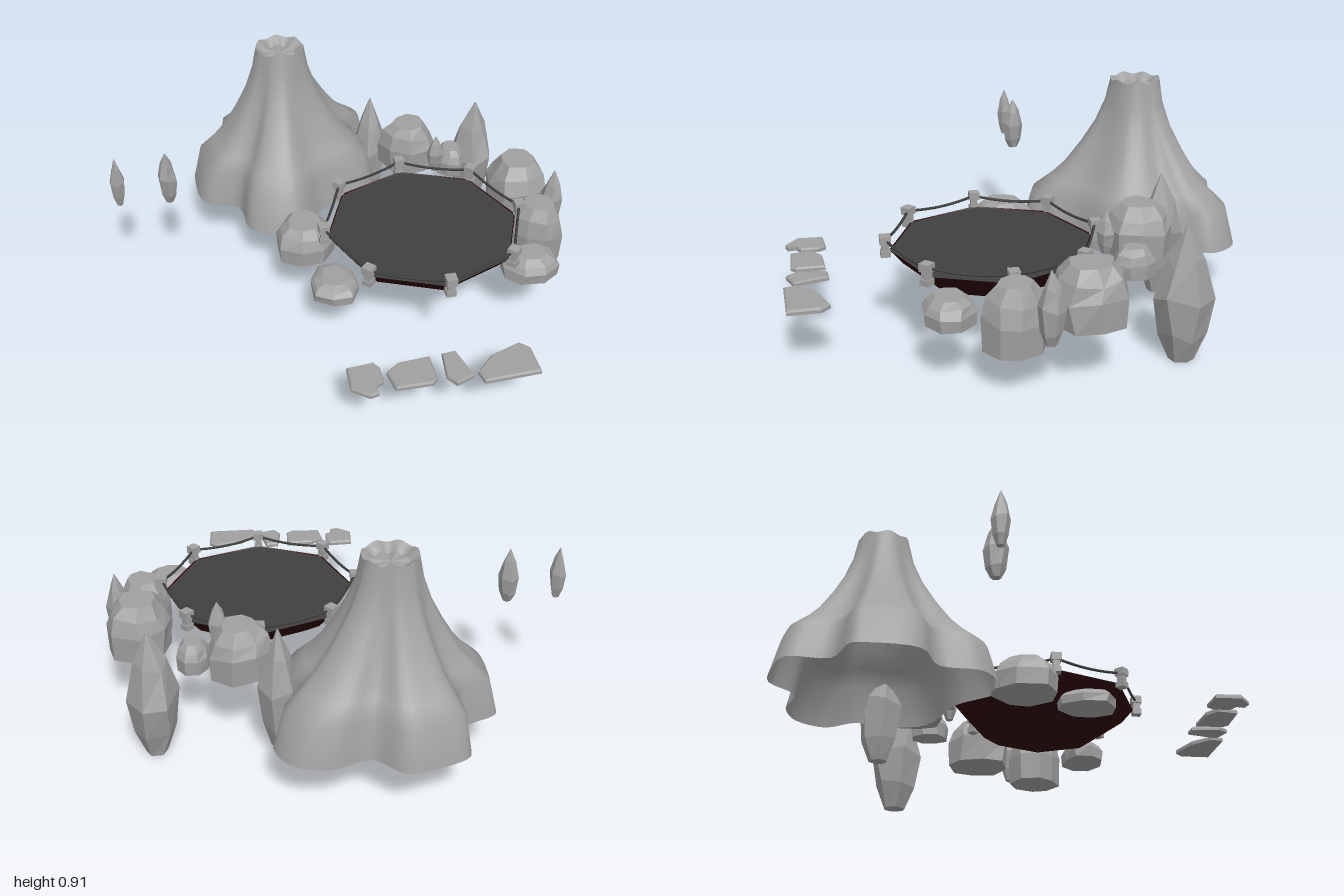
import * as THREE from 'three';

const mat = (name, color) => {
  const m = new THREE.MeshStandardMaterial({ color, side: THREE.DoubleSide });
  m.name = name;
  return m;
};

// small seeded random numbers
function seeded(seed) {
  let s = seed * 7919 + 17;
  return () => (s = (s * 16807) % 2147483647) / 2147483647;
}

// skin over rings of points, listed from bottom to top
function loft(rings, { flat = true, bottom = true, top = true } = {}) {
  const n = rings[0].length, pos = [], idx = [];
  rings.forEach(r => r.forEach(p => pos.push(p.x, p.y, p.z)));
  for (let k = 0; k < rings.length - 1; k++)
    for (let i = 0; i < n; i++) {
      const a = k * n + i, b = k * n + (i + 1) % n;
      idx.push(a, a + n, b, b, a + n, b + n);
    }
  const cap = (k, up) => {
    const c = new THREE.Vector3();
    rings[k].forEach(p => c.addScaledVector(p, 1 / n));
    const ci = pos.length / 3;
    pos.push(c.x, c.y, c.z);
    for (let i = 0; i < n; i++) {
      const a = k * n + i, b = k * n + (i + 1) % n;
      up ? idx.push(ci, b, a) : idx.push(ci, a, b);
    }
  };
  if (bottom) cap(0, false);
  if (top) cap(rings.length - 1, true);
  let g = new THREE.BufferGeometry();
  g.setAttribute('position', new THREE.Float32BufferAttribute(pos, 3));
  g.setIndex(idx);
  if (flat) g = g.toNonIndexed();
  g.computeVertexNormals();
  return g;
}

// uneven stone: profile holds [radius fraction, height fraction]
function stoneGeometry(x, z, rx, rz, y0, y1, profile, sides, seed, jitter) {
  const rnd = seeded(seed);
  rnd();
  const turn = rnd() * 6, wobble = Array.from({ length: sides }, () => 1 - rnd() * jitter);
  const rings = profile.map(([r, h]) => wobble.map((w, i) => {
    const a = turn + (i + (rnd() - 0.5) * 0.25) / sides * Math.PI * 2;
    const dy = h > 0 && h < 1 ? (rnd() - 0.5) * 0.1 : 0;
    return new THREE.Vector3(x + Math.cos(a) * rx * r * w, y0 + (y1 - y0) * (h + dy), z + Math.sin(a) * rz * r * w);
  }));
  return loft(rings);
}

export function createModel() {
  const model = new THREE.Group();
  const stone = mat('grey stone', 0xa0a0a0);
  const water = mat('dark pool surface', 0x404040);
  const lava = mat('dark red basin', 0x2e0608);
  const add = (name, geo, m, parent = model) => {
    const mesh = new THREE.Mesh(geo, m);
    mesh.name = name;
    parent.add(mesh);
    return mesh;
  };

  // volcano: round crater rim flaring into a lobed foot
  const foot = new THREE.CatmullRomCurve3([
    [-.21, -1], [-.09, -.91], [.06, -.96], [.2, -.93], [.27, -.81], [.2, -.67], [.24, -.53], [.2, -.37],
    [-.04, -.25], [-.18, -.09], [-.29, -.09], [-.4, -.16], [-.43, -.33], [-.58, -.4], [-.61, -.6],
    [-.6, -.66], [-.46, -.74], [-.46, -.91], [-.35, -.97],
  ].map(([x, z]) => new THREE.Vector3(x, 0, z)), true, 'centripetal').getPoints(76).slice(0, 76);
  const cx = -0.18, cz = -0.58;
  const slope = [[.22, 1], [.38, .88], [.44, .68], [.5, .52], [.6, .33], [.7, .17], [.8, .06], [.9, 0]];
  const coneRing = (y, t, r) => foot.map((p, i) => {
    const a = Math.atan2(p.z - cz, p.x - cx);
    const chip = y > 0.85 ? Math.sin(a * 7) * 0.006 : 0;
    return new THREE.Vector3(
      THREE.MathUtils.lerp(cx + Math.cos(a) * r, p.x, t), y + chip,
      THREE.MathUtils.lerp(cz + Math.sin(a) * r, p.z, t));
  });
  add('volcano', loft(slope.map(([y, t]) => coneRing(y, t, 0.108)), { flat: false, bottom: false, top: false }), stone);
  add('crater', loft([coneRing(.9, 0, .108), coneRing(.87, 0, .07)], { bottom: false }), stone);

  // octagonal pool: basin, surface, posts and ropes
  const pool = new THREE.Group();
  pool.name = 'pool';
  pool.position.set(0.31, 0, 0.165);
  model.add(pool);
  const basin = [[0, .21], [.13, .215], [.27, .25], [.36, .31], [.415, .375]].map(p => new THREE.Vector2(...p));
  add('basin', new THREE.LatheGeometry(basin, 8), lava, pool);
  const surface = new THREE.CircleGeometry(0.411, 8).rotateX(-Math.PI / 2);
  add('poolSurface', surface, water, pool).position.y = 0.371;
  const postAt = (k, y) => {
    const a = k * Math.PI / 4;
    return new THREE.Vector3(Math.cos(a) * 0.43, y, Math.sin(a) * 0.43);
  };
  for (let k = 0; k < 8; k++) {
    const post = new THREE.Group();
    post.name = 'post';
    post.position.copy(postAt(k, 0));
    post.rotation.y = -k * Math.PI / 4;
    pool.add(post);
    [['postBase', .04, .35, .375], ['postShaft', .03, .375, .405], ['postCap', .044, .405, .438]].forEach(([n, w, a, b]) => {
      add(n, new THREE.BoxGeometry(w, b - a, w), stone, post).position.y = (a + b) / 2;
    });
    const p = postAt(k, .42), q = postAt(k + 1, .42);
    const mid = p.clone().add(q).multiplyScalar(0.5).setY(0.39);
    add('rope', new THREE.TubeGeometry(new THREE.QuadraticBezierCurve3(p, mid, q), 8, 0.006, 5), water, pool);
  }

  // rounded rocks around the pool: x, z, rx, rz, bottom, top
  const rockProfile = [[.97, 0], [1, .5], [.84, .78], [.55, 1]];
  [
    [-.18, .03, .14, .16, .22, .37], [-.1, .3, .12, .14, .2, .27], [.72, .4, .13, .11, .25, .35],
    [.83, .18, .13, .13, .17, .43], [.82, -.1, .16, .16, .25, .48], [.39, -.42, .145, .145, .32, .53],
    [.58, -.35, .075, .1, .3, .42],
  ].forEach((r, i) => add('rock', stoneGeometry(...r, rockProfile, 8, i + 3, 0.16), stone));

  // pointed shards, some hanging below the pool and two floating aside
  const shardProfile = [[.42, 0], [.8, .2], [1, .5], [.6, .75], [.03, 1]];
  [
    [.74, -.5, .115, .125, 0, .55], [.24, -.57, .09, .11, .06, .59], [.93, .07, .056, .058, .22, .51],
    [.48, -.26, .045, .04, .36, .54], [-.95, -.14, .035, .04, .45, .68], [-.74, -.14, .046, .05, .44, .68],
  ].forEach((r, i) => add('shard', stoneGeometry(...r, shardProfile, 6, i + 21, 0.12), stone));

  // flat stepping stones at the front
  [
    [[-.16, .83], [-.055, .82], [-.035, .85], [-.035, .925], [-.07, .945], [-.065, .98], [-.1, .99], [-.165, .94]],
    [[-.015, .88], [.04, .84], [.165, .83], [.165, .95], [.145, .97], [0, .97]],
    [[.215, .825], [.27, .82], [.305, .96], [.23, .99], [.2, .945]],
    [[.325, .945], [.4, .87], [.525, .825], [.56, .86], [.56, .99], [.335, 1]],
  ].forEach(pts => {
    const mx = pts.reduce((s, p) => s + p[0], 0) / pts.length;
    const mz = pts.reduce((s, p) => s + p[1], 0) / pts.length;
    const ring = (y, s) => pts.map(([x, z]) => new THREE.Vector3(mx + (x - mx) * s, y, mz + (z - mz) * s));
    add('steppingStone', loft([ring(.247, 1), ring(.26, 1), ring(.267, .92)]), stone);
  });
  return model;
}
